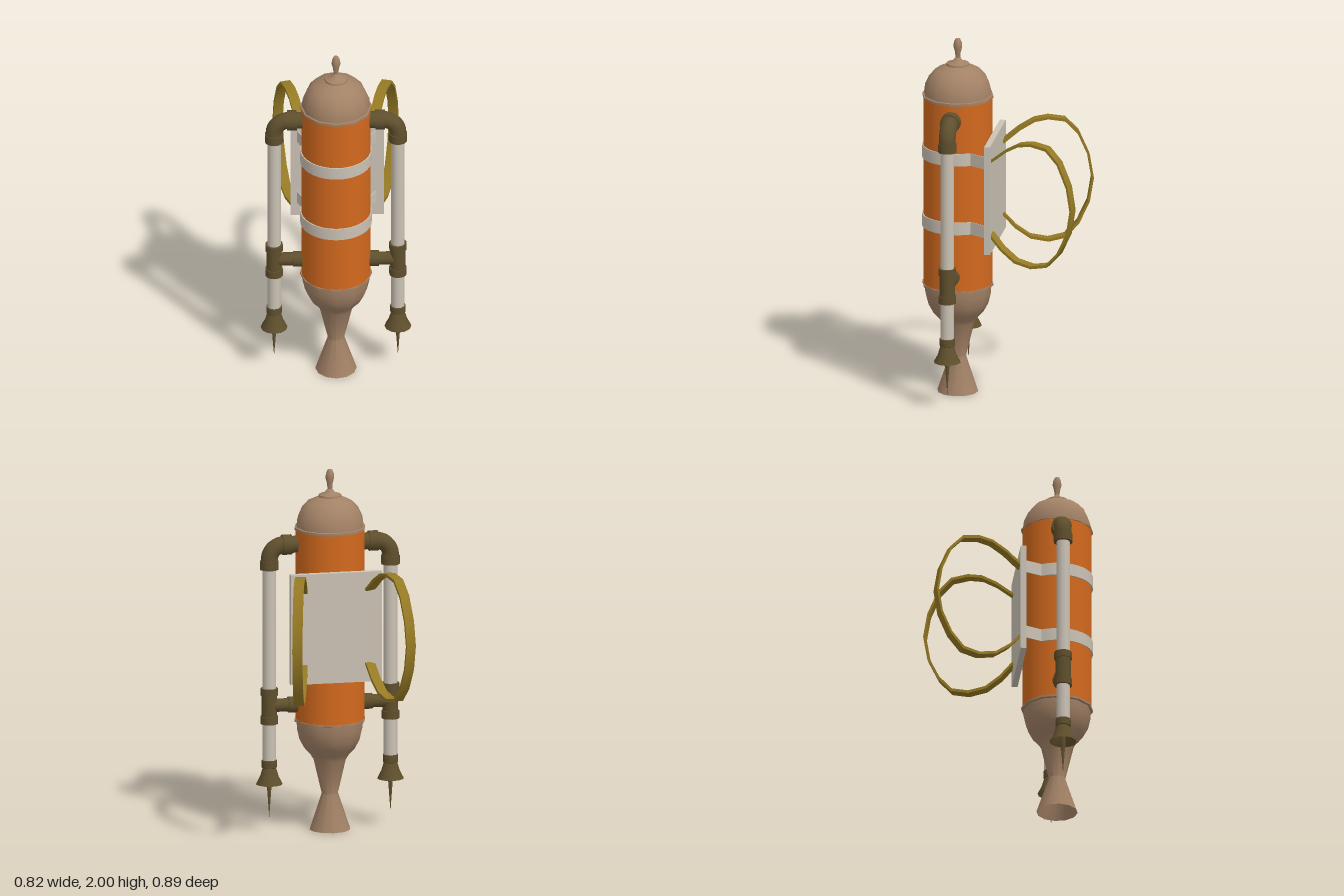
import * as THREE from 'three';
import { toCreasedNormals } from 'three/addons/utils/BufferGeometryUtils.js';

const mat = (name, color, side = THREE.FrontSide) => {
  const m = new THREE.MeshStandardMaterial({ color, side });
  m.name = name;
  return m;
};

export function createModel() {
  const orange = mat('orange paint', 0xd2691e);
  const tan = mat('tan metal', 0xa38266, THREE.DoubleSide);
  const bronze = mat('dark bronze', 0x5f4f2d, THREE.DoubleSide);
  const silver = mat('pale metal', 0xcbc2b5);
  const gold = mat('gold strap', 0x967a24);

  const model = new THREE.Group();
  model.name = 'rocketPack';
  const body = new THREE.Group();
  body.name = 'body';
  body.position.z = 0.25;
  model.add(body);

  const add = (parent, name, geo, material, x = 0, y = 0, z = 0) => {
    const mesh = new THREE.Mesh(geo, material);
    mesh.name = name;
    mesh.position.set(x, y, z);
    parent.add(mesh);
    return mesh;
  };
  // Turned part from [radius, height] pairs, bottom to top
  const lathe = (pts, sides = 12) => toCreasedNormals(
    new THREE.LatheGeometry(pts.map(([r, y]) => new THREE.Vector2(r, y)), sides), 0.7);
  // Upright or sideways cylinder between two positions on its axis
  const rod = (parent, name, r, from, to, material, x, y = null) => {
    const geo = new THREE.CylinderGeometry(r, r, to - from, 14);
    const mid = (from + to) / 2;
    if (y === null) return add(parent, name, geo, material, x, mid);
    geo.rotateZ(Math.PI / 2);
    return add(parent, name, geo, material, mid, y);
  };

  // Tank with its domed cap and exhaust bell
  add(body, 'tank', new THREE.CylinderGeometry(0.187, 0.187, 1.07, 24), orange, 0, 1.145);
  add(body, 'domeCap', lathe([
    [0.18, 1.668], [0.195, 1.668], [0.195, 1.682], [0.186, 1.684], [0.18, 1.73],
    [0.158, 1.78], [0.122, 1.82], [0.064, 1.847], [0.062, 1.858], [0.032, 1.868],
    [0.022, 1.878], [0.013, 1.89], [0.016, 1.92], [0.024, 1.95], [0.022, 1.975],
    [0.013, 1.995], [0, 2]]), tan);
  add(body, 'exhaustBell', lathe([
    [0.112, 0], [0.045, 0.2], [0.09, 0.39], [0.108, 0.42], [0.142, 0.457],
    [0.168, 0.505], [0.181, 0.56], [0.184, 0.602], [0.195, 0.605], [0.195, 0.617],
    [0.18, 0.617]]), tan);

  // Side pipes, mirrored
  for (const s of [1, -1]) {
    const side = new THREE.Group();
    side.name = s > 0 ? 'leftPipe' : 'rightPipe';
    side.rotation.y = s > 0 ? 0 : Math.PI;
    body.add(side);
    const X = 0.335;
    rod(side, 'pipe', 0.037, 0.38, 1.5, silver, X);

    // Upper elbow
    const path = new THREE.CurvePath();
    const v = (x, y) => new THREE.Vector3(x, y, 0);
    path.add(new THREE.LineCurve3(v(0.16, 1.59), v(0.255, 1.59)));
    path.add(new THREE.CubicBezierCurve3(v(0.255, 1.59), v(0.3, 1.59), v(X, 1.555), v(X, 1.51)));
    path.add(new THREE.LineCurve3(v(X, 1.51), v(X, 1.47)));
    add(side, 'elbow', new THREE.TubeGeometry(path, 20, 0.046, 14), bronze);
    rod(side, 'elbowCollar', 0.055, 0.213, 0.265, bronze, 0, 1.59);
    rod(side, 'elbowCollar', 0.051, 1.457, 1.505, bronze, X);

    // Lower tee joint
    rod(side, 'teeBody', 0.042, 0.61, 0.79, bronze, X);
    rod(side, 'teeCollar', 0.048, 0.6, 0.642, bronze, X);
    rod(side, 'teeCollar', 0.048, 0.758, 0.797, bronze, X);
    rod(side, 'teeBranch', 0.036, 0.16, X, bronze, 0, 0.7);
    rod(side, 'branchCollar', 0.043, 0.17, 0.232, bronze, 0, 0.7);

    // Small nozzle and its needle
    add(side, 'nozzle', lathe([[0.073, 0.265], [0.052, 0.305], [0.037, 0.355],
      [0.042, 0.358], [0.042, 0.398], [0.036, 0.4]]), bronze, X);
    add(side, 'needle', lathe([[0, 0.08], [0.006, 0.16], [0.014, 0.27], [0.014, 0.385]], 8), bronze, X);
  }

  // Back plate
  add(model, 'backPlate', new THREE.BoxGeometry(0.505, 0.61, 0.032), silver, 0.01, 1.165, 0.045);

  // Bands round the tank, running back to the plate
  const bandSide = (r, inset) => {
    const pts = [[-0.21 + inset, -0.055]];
    for (let i = 0; i <= 24; i++) {
      const a = Math.PI + 0.54 - i * (Math.PI + 1.08) / 24;
      pts.push([r * Math.cos(a), -0.25 - r * Math.sin(a)]);
    }
    pts.push([0.225 - inset, -0.055]);
    return pts.map(([x, y]) => new THREE.Vector2(x, y));
  };
  const bandShape = new THREE.Shape([...bandSide(0.194, 0), ...bandSide(0.188, 0.006).reverse()]);
  for (const y of [0.94, 1.33]) {
    const geo = new THREE.ExtrudeGeometry(bandShape, { depth: 0.07, bevelEnabled: false });
    geo.rotateX(-Math.PI / 2);
    add(model, 'tankBand', toCreasedNormals(geo, 0.5), silver, 0, y);
  }

  // Shoulder loops: [distance behind the plate, height]
  const loop = [[-0.01, 1.375], [0.08, 1.45], [0.16, 1.497], [0.235, 1.51], [0.325, 1.495],
    [0.395, 1.42], [0.45, 1.29], [0.472, 1.155], [0.45, 1.02], [0.395, 0.9],
    [0.325, 0.82], [0.235, 0.8], [0.14, 0.82], [0.06, 0.88], [-0.01, 0.96]]
    .map(([d, y]) => new THREE.Vector2(d / 0.965, y));
  const centre = new THREE.Vector2(0.22, 1.155);
  const inner = loop.map(p => p.clone().sub(centre).multiplyScalar(0.955).add(centre)).reverse();
  for (const s of [1, -1]) {
    const geo = new THREE.ExtrudeGeometry(new THREE.Shape([...loop, ...inner]),
      { depth: 0.055, bevelEnabled: false });
    geo.translate(0, 0, -0.0275);
    const strap = add(model, s > 0 ? 'leftShoulderLoop' : 'rightShoulderLoop',
      toCreasedNormals(geo, 0.6), gold, 0.01 + s * 0.187, 0, 0.03);
    strap.rotation.y = s > 0 ? 1.305 : Math.PI - 1.305;
  }
  return model;
}
